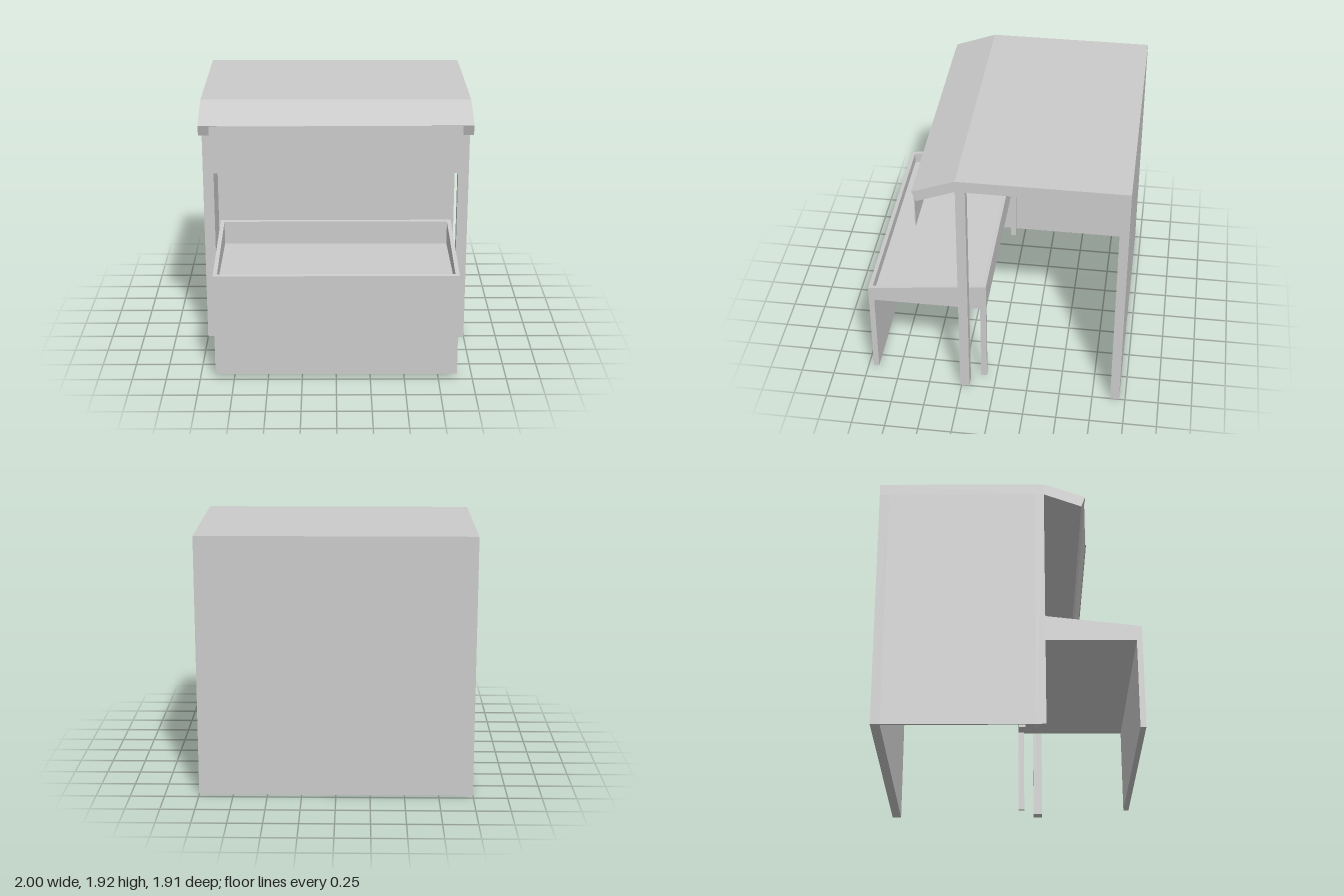
import * as THREE from 'three';

export function createModel() {
  const stall = new THREE.Group();
  stall.name = 'marketStall';
  const material = new THREE.MeshStandardMaterial({ color: 0xcccccc, flatShading: true });

  const add = (name, geometry, parent) => {
    const mesh = new THREE.Mesh(geometry, material);
    mesh.name = name;
    parent.add(mesh);
    return mesh;
  };

  // Box given by its lower and upper limits on each axis
  const box = (name, [x0, x1], [y0, y1], [z0, z1], parent) =>
    add(name, new THREE.BoxGeometry(x1 - x0, y1 - y0, z1 - z0), parent)
      .position.set((x0 + x1) / 2, (y0 + y1) / 2, (z0 + z1) / 2);

  // Side profile of [z, y] points, extruded along x
  const profile = (name, points, [x0, x1], parent) => {
    const shape = new THREE.Shape(points.map(([z, y]) => new THREE.Vector2(-z, y)));
    const geometry = new THREE.ExtrudeGeometry(shape, { depth: x1 - x0, bevelEnabled: false });
    geometry.rotateY(Math.PI / 2).translate(x0, 0, 0);
    return add(name, geometry, parent);
  };

  // Booth: back wall, thin closed wall, two front posts
  const booth = new THREE.Group();
  booth.name = 'booth';
  stall.add(booth);
  box('backWall', [-1, 1], [0, 1.835], [-0.955, -0.887], booth);
  box('sideWall', [-1, -0.984], [0, 1.835], [-0.887, 0.19], booth);
  for (const side of [-1, 1]) {
    box('frontPost', [side * 0.96 - 0.04, side * 0.96 + 0.04], [0, 1.835], [0.19, 0.26], booth);
  }

  // Flat roof with a sloping front eave
  profile('roof', [
    [-0.955, 1.835], [0.26, 1.835], [0.535, 1.73],
    [0.565, 1.81], [0.26, 1.922], [-0.955, 1.922],
  ], [-1, 1], booth);

  // Hanging board below the eave edge
  box('signBoard', [-0.92, 0.92], [1.45, 1.808], [0.561, 0.567], booth);

  // Counter: display tray with a sloping rim
  const counter = new THREE.Group();
  counter.name = 'counter';
  stall.add(counter);
  const rim = (z) => 0.8 + (0.955 - z) * (0.105 / 0.885);

  box('trayFloor', [-0.86, 0.86], [0.69, 0.72], [0.1, 0.925], counter);
  profile('frontRim', [
    [0.925, 0.69], [0.955, 0.69], [0.955, rim(0.955)], [0.925, rim(0.925)],
  ], [-0.86, 0.86], counter);
  profile('backRim', [
    [0.07, 0.69], [0.1, 0.69], [0.1, rim(0.1)], [0.07, rim(0.07)],
  ], [-0.86, 0.86], counter);
  box('frontPanel', [-0.89, 0.89], [0.02, 0.69], [0.914, 0.955], counter);

  // Tray sides and back legs
  for (const side of [-1, 1]) {
    const span = [side * 0.875 - 0.015, side * 0.875 + 0.015];
    profile('traySide', [
      [0.07, 0.69], [0.955, 0.69], [0.955, rim(0.955)], [0.07, rim(0.07)],
    ], span, counter);
    box('backLeg', span, [0.02, 0.69], [0.07, 0.115], counter);
  }

  return stall;
}
